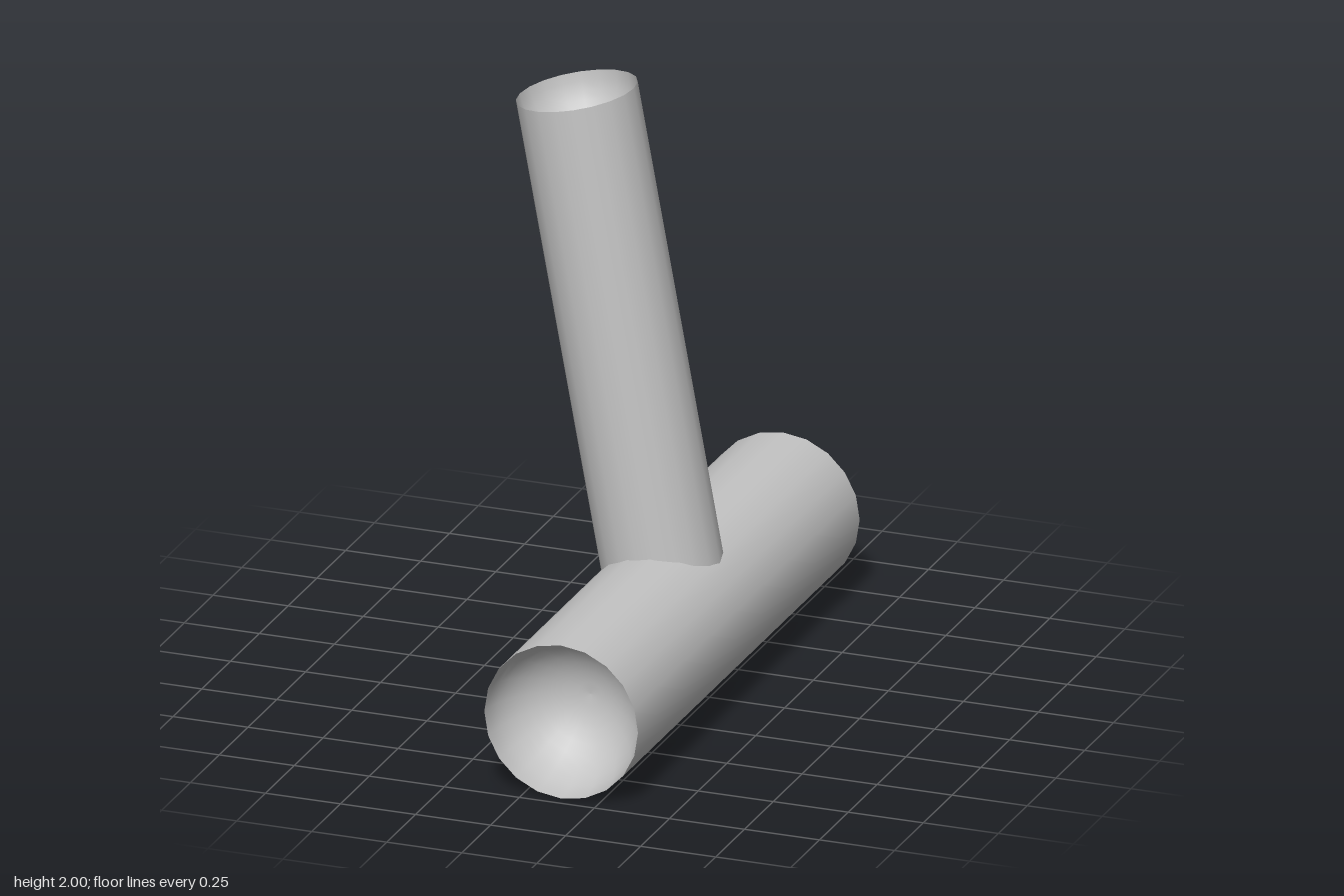
import * as THREE from 'three';

const SIDES = 20;
const grey = new THREE.MeshStandardMaterial({ color: 0xc4c4c4 });
grey.name = 'plain grey';

// Cup-shaped hollow whose rim lies at y = 0, facing up
function bowlGeometry(radius) {
  const profile = [];
  for (let i = 0; i <= 10; i++) {
    const a = (i / 10) * Math.PI / 2;
    profile.push(new THREE.Vector2(i === 10 ? 0 : radius * Math.cos(a), -radius * Math.sin(a)));
  }
  return new THREE.LatheGeometry(profile, SIDES);
}

// Round bar along y, centred on its origin, with a hollow in each end
function hollowEndedBar(name, radius, length) {
  const bar = new THREE.Group();
  bar.name = name;
  const wall = new THREE.Mesh(
    new THREE.CylinderGeometry(radius, radius, length, SIDES, 1, true), grey);
  wall.name = name + 'Wall';
  bar.add(wall);
  for (const end of [1, -1]) {
    const bowl = new THREE.Mesh(bowlGeometry(radius), grey);
    bowl.name = name + (end > 0 ? 'UpperHollow' : 'LowerHollow');
    bowl.position.y = end * length / 2;
    if (end < 0) bowl.rotation.x = Math.PI;
    bar.add(bowl);
  }
  return bar;
}

export function createModel() {
  const model = new THREE.Group();
  model.name = 'branchedBar';

  // Thick bar lying front to back
  const base = hollowEndedBar('baseBar', 0.256, 1.925);
  base.rotation.x = Math.PI / 2;
  base.position.set(0.125, 0.256, 0);
  model.add(base);

  // Thinner bar leaning to the right, rising from the middle of the base
  const tilt = THREE.MathUtils.degToRad(10.5);
  const length = 1.74;
  const post = hollowEndedBar('leaningBar', 0.193, length);
  post.rotation.z = tilt;
  post.position.set(
    0.125 - Math.sin(tilt) * length / 2,
    0.256 + Math.cos(tilt) * length / 2, 0);
  model.add(post);

  return model;
}
